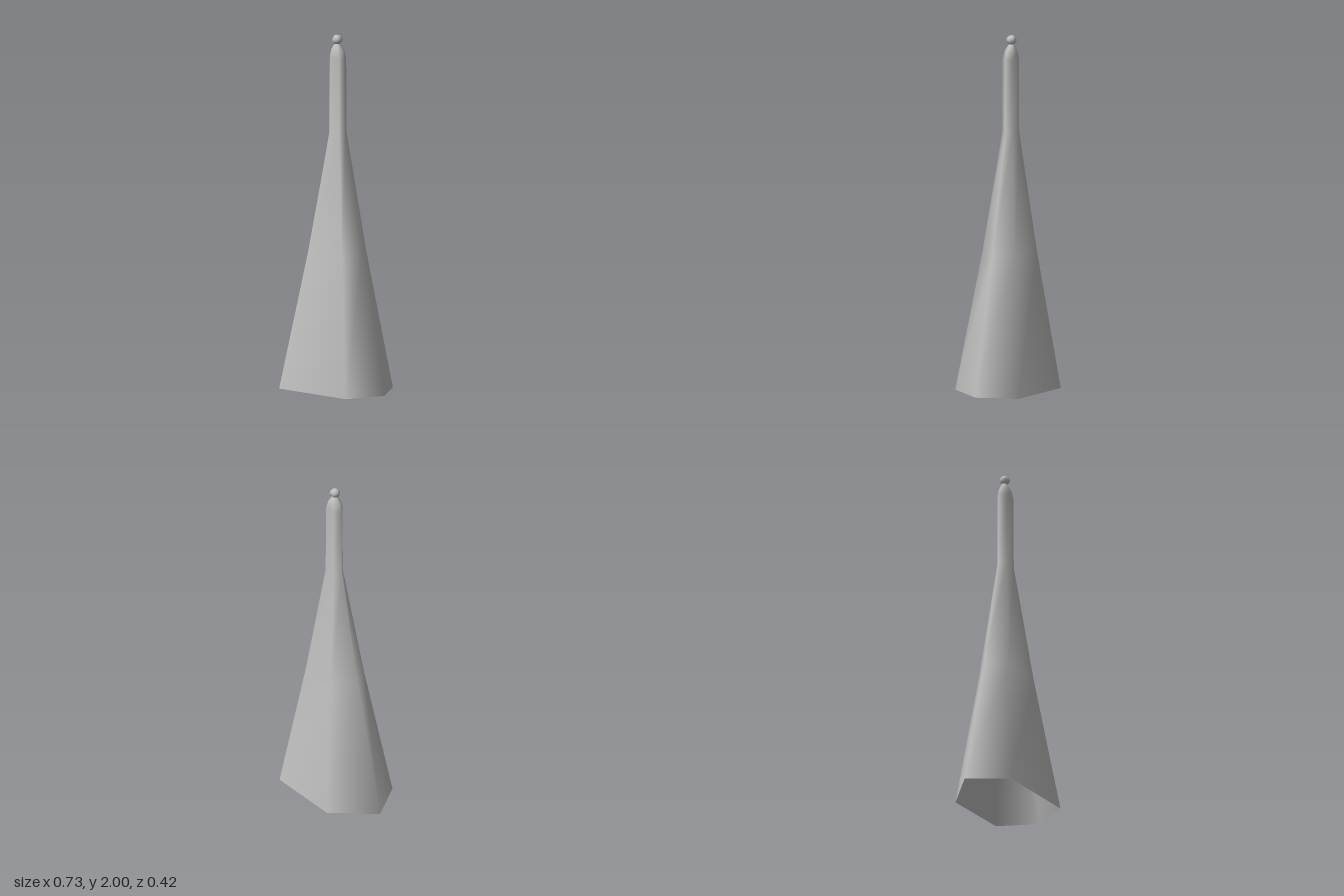
import * as THREE from 'three';

// Six-sided outlines [x, z], counterclockwise seen from above
const BASE = [[-0.365, 0], [-0.22, 0.211], [0.26, 0.211], [0.362, 0], [0.245, -0.213], [-0.155, -0.207]];
const NECK = [[-0.038, 0], [-0.006, 0.033], [0.064, 0.033], [0.081, 0], [0.061, -0.035], [-0.005, -0.033]];
const CENTRE_X = 0.019;

// Outline between neck (0) and base (1)
const flare = (y, t) => NECK.map(([x, z], i) => [
  THREE.MathUtils.lerp(x, BASE[i][0], t), y, THREE.MathUtils.lerp(z, BASE[i][1], t)]);

// Neck outline scaled about its own axis
const scaled = (y, sx, sz = sx) => NECK.map(([x, z]) => [CENTRE_X + (x - CENTRE_X) * sx, y, z * sz]);

// Smooth skin through rings, optionally closed by a point on top
function loft(rings, topY) {
  const n = rings[0].length, index = [];
  const points = rings.flat();
  for (let j = 0; j < rings.length - 1; j++) {
    for (let i = 0; i < n; i++) {
      const a = j * n + i, b = j * n + (i + 1) % n;
      index.push(a, b, b + n, a, b + n, a + n);
    }
  }
  if (topY !== undefined) {
    const start = (rings.length - 1) * n;
    for (let i = 0; i < n; i++) index.push(start + i, start + (i + 1) % n, points.length);
    points.push([CENTRE_X, topY, 0]);
  }
  const geometry = new THREE.BufferGeometry();
  geometry.setAttribute('position', new THREE.Float32BufferAttribute(points.flat(), 3));
  geometry.setIndex(index);
  geometry.computeVertexNormals();
  return geometry;
}

export function createModel() {
  const group = new THREE.Group();
  group.name = 'spire';
  const grey = new THREE.MeshStandardMaterial({ color: 0xbfbfbf, side: THREE.DoubleSide });
  grey.name = 'grey';

  const add = (name, geometry) => {
    const mesh = new THREE.Mesh(geometry, grey);
    mesh.name = name;
    group.add(mesh);
  };

  // Open flared skirt, straight neck and rounded shoulder
  const foot = flare(0.01, 1);
  foot[5][1] = 0; // one back corner hangs slightly lower
  add('spireBody', loft([
    foot, flare(0.78, 0.425), flare(1.45, 0), scaled(1.87, 0.95),
    scaled(1.915, 0.7, 0.78), scaled(1.935, 0.45, 0.55), scaled(1.95, 0.25, 0.35),
  ]));

  // Small ball on the tip
  const ball = [];
  for (let k = 1; k <= 5; k++) {
    const a = Math.PI * k / 6, r = Math.sin(a);
    ball.push(scaled(1.973 - 0.027 * Math.cos(a), 0.49 * r, 0.72 * r));
  }
  add('tipBall', loft(ball, 2));

  return group;
}
